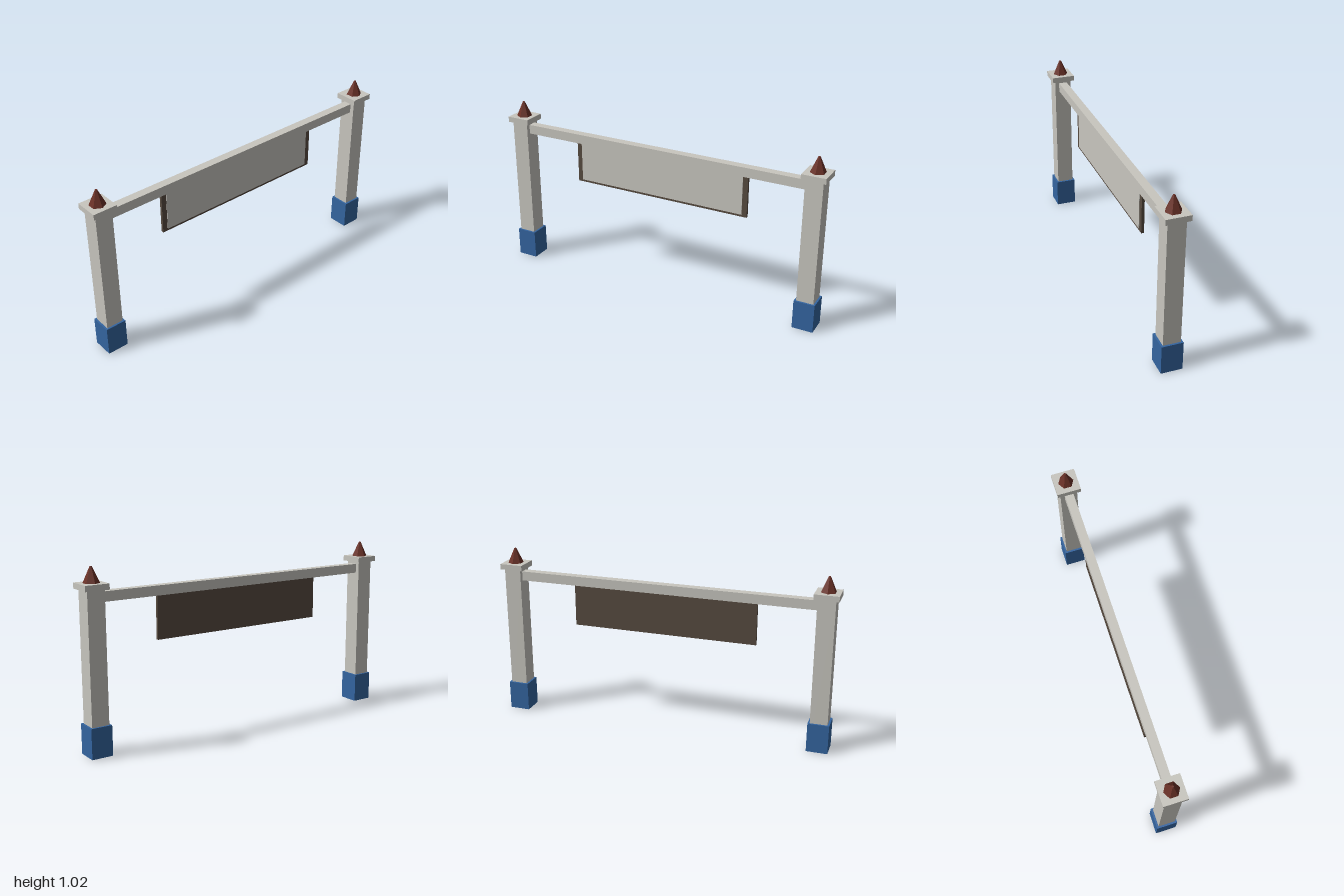
import * as THREE from 'three';

const material = (name, color) => {
  const m = new THREE.MeshStandardMaterial({ color });
  m.name = name;
  return m;
};

export function createModel() {
  const stone = material('paleStone', 0xc8c6bf);
  const blue = material('blue', 0x3465a0);
  const wood = material('darkWood', 0x574b40);
  const rust = material('rustRed', 0x6a3127);
  rust.flatShading = true;

  const model = new THREE.Group();
  model.name = 'gateway';

  const add = (parent, name, geometry, mat, x, y, z = 0) => {
    const mesh = new THREE.Mesh(geometry, mat);
    mesh.name = name;
    mesh.position.set(x, y, z);
    parent.add(mesh);
  };
  // Box given by its bottom and top heights
  const box = (parent, name, mat, w, d, y0, y1, z = 0) =>
    add(parent, name, new THREE.BoxGeometry(w, y1 - y0, d), mat, 0, (y0 + y1) / 2, z);

  // Two posts, each with a foot sleeve, cap and six-sided finial
  for (const side of [-1, 1]) {
    const post = new THREE.Group();
    post.name = side > 0 ? 'leftPost' : 'rightPost';
    post.position.x = side * 0.931;
    box(post, 'shaft', stone, 0.1, 0.1, 0, 0.9);
    box(post, 'footSleeve', blue, 0.122, 0.122, 0.002, 0.173);
    box(post, 'cap', stone, 0.138, 0.138, 0.899, 0.931);
    add(post, 'finial', new THREE.CylinderGeometry(0.006, 0.045, 0.087, 6), rust, 0, 0.9745);
    model.add(post);
  }

  // Crossbeam between the posts
  box(model, 'crossbeam', stone, 1.764, 0.05, 0.83, 0.885);

  // Hanging board with a pale face on the front
  box(model, 'signBoard', wood, 1.096, 0.016, 0.583, 0.83);
  box(model, 'signFace', stone, 1.036, 0.004, 0.596, 0.83, 0.009);

  return model;
}
